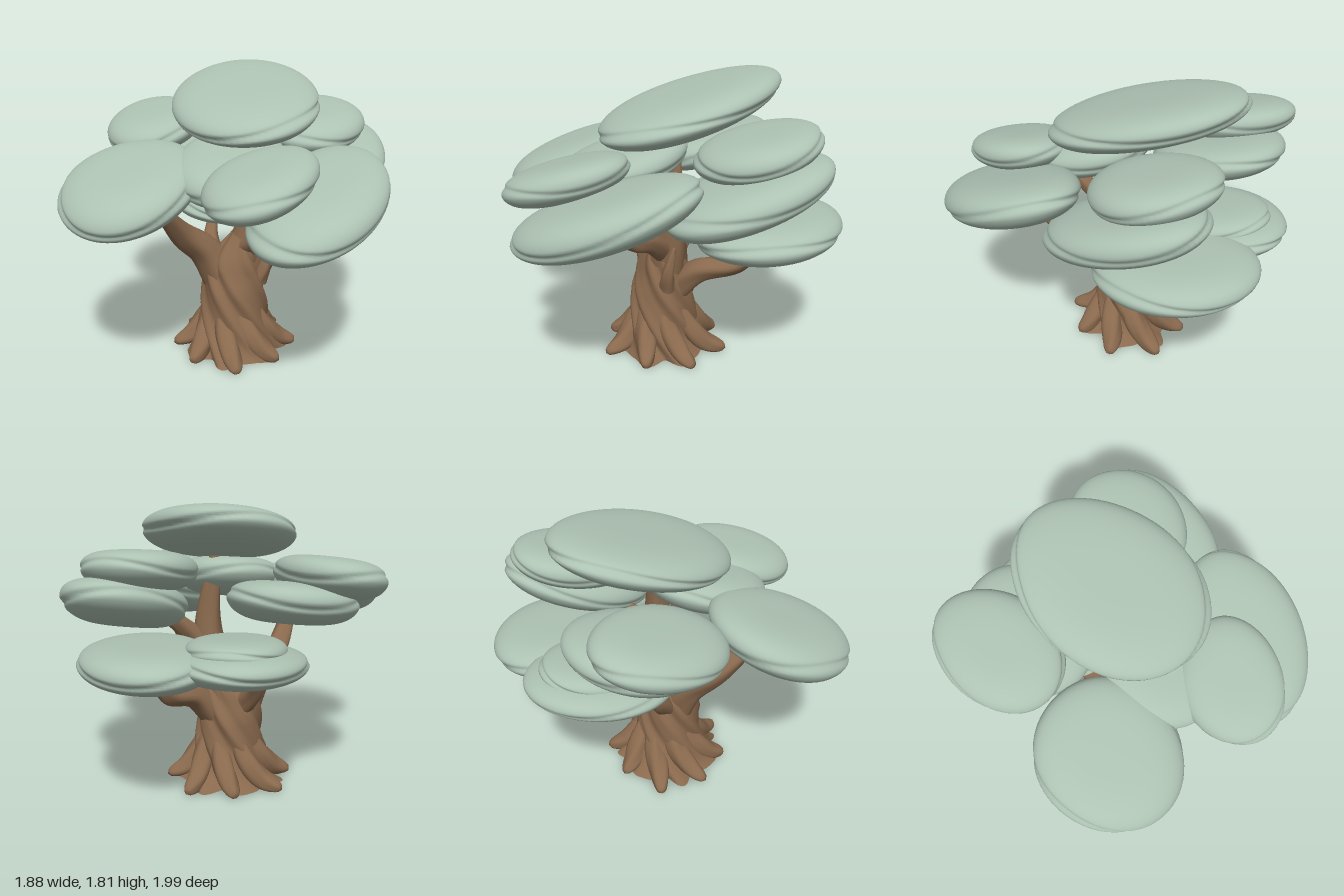
import * as THREE from 'three';
import { mergeVertices } from 'three/addons/utils/BufferGeometryUtils.js';

const bark = new THREE.MeshStandardMaterial({ color: 0x8a6a4e });
bark.name = 'bark brown';
const leaf = new THREE.MeshStandardMaterial({ color: 0xadc2b3 });
leaf.name = 'sage leaf';

// weld seams so the normals stay smooth
function smooth(geometry) {
  geometry.deleteAttribute('uv');
  geometry.deleteAttribute('normal');
  const welded = mergeVertices(geometry, 1e-5);
  welded.computeVertexNormals();
  return welded;
}

function addMesh(group, name, geometry, material) {
  const mesh = new THREE.Mesh(geometry, material);
  mesh.name = name;
  group.add(mesh);
}

function addGroup(parent, name) {
  const group = new THREE.Group();
  group.name = name;
  parent.add(group);
  return group;
}

// blunt-edged cushion of leaves, sloping and skewed, with an uneven fold round its rim
function padGeometry([x0, y0, z0], [rx, h, rz], [riseBack, riseLeft, skew], seed) {
  const g = new THREE.SphereGeometry(1, 72, 48);
  const p = g.attributes.position;
  for (let i = 0; i < p.count; i++) {
    const s = THREE.MathUtils.clamp(p.getY(i), -1, 1);
    const c = Math.sqrt(1 - s * s);
    const a = Math.atan2(p.getZ(i), p.getX(i));
    const S = Math.sign(s) * Math.pow(Math.abs(s), 0.85);
    let R = Math.pow(c, 0.55);
    const fold = (S - 0.1 - 0.3 * Math.sin(2 * a + seed)) / 0.13;
    R -= 0.035 * Math.exp(-fold * fold) * Math.min(1, c * 1.5);
    R *= 1 + 0.015 * Math.sin(3 * a + seed * 2);
    if (S < 0) R *= 1 + 0.1 * S;
    const x = rx * R * Math.cos(a), z = rz * R * Math.sin(a);
    p.setXYZ(i, x0 + x + skew * z, y0 + h * S - riseBack * z + riseLeft * x, z0 + z);
  }
  return smooth(g);
}

// tapered limb along a curve with ridges winding round it
function limbGeometry(points, radiusAt) {
  const curve = new THREE.CatmullRomCurve3(points);
  const n = 32, m = 20;
  const g = new THREE.TubeGeometry(curve, n, 1, m);
  const p = g.attributes.position, v = new THREE.Vector3();
  for (let i = 0; i <= n; i++) {
    const t = i / n, centre = curve.getPointAt(t);
    const r = radiusAt(t) * Math.sqrt(1 - Math.pow(t, 14));
    for (let j = 0; j <= m; j++) {
      const id = i * (m + 1) + j;
      const ridge = 1 + 0.08 * Math.cos((8 * Math.PI * j) / m + 5 * t);
      v.fromBufferAttribute(p, id).sub(centre).multiplyScalar(r * ridge).add(centre);
      p.setXYZ(id, v.x, Math.max(0, v.y), v.z);
    }
  }
  return smooth(g);
}

// twisted trunk, flaring at the foot and narrowing into the main branch
function trunkGeometry() {
  const { smoothstep } = THREE.MathUtils;
  const height = 0.95;
  const g = new THREE.CylinderGeometry(1, 1, 1, 96, 64, true);
  const p = g.attributes.position;
  for (let i = 0; i < p.count; i++) {
    const y = (p.getY(i) + 0.5) * height;
    const a = Math.atan2(p.getX(i), p.getZ(i));
    const w = a + 3.4 * y;
    const lobe = 0.07 + 0.09 * Math.exp(-y / 0.15);
    const flare = 0.225 - 0.07 * y + 0.085 * Math.exp(-y / 0.08);
    const taper = 1 - 0.55 * smoothstep(y, 0.56, 0.86);
    const r = flare * taper * (1 + lobe * (0.75 * Math.cos(7 * w) + 0.35 * Math.cos(11 * w + 1)));
    const flat = 1 - 0.13 * smoothstep(y, 0.4, 0.6);
    const lean = 0.1 * smoothstep(y, 0.55, 0.9);
    p.setXYZ(i, lean + r * Math.sin(a), y, 0.01 + r * flat * Math.cos(a));
  }
  return smooth(g);
}

export function createModel() {
  const tree = new THREE.Group();
  tree.name = 'tree';
  addMesh(tree, 'trunk', trunkGeometry(), bark);

  // roots spreading round the foot
  const roots = addGroup(tree, 'roots');
  const rootCount = 8;
  for (let i = 0; i < rootCount; i++) {
    const a = (i / rootCount) * Math.PI * 2 + 0.1;
    const reach = 0.405 + 0.025 * Math.cos(i * 2.4);
    const at = (d, y, turn) => new THREE.Vector3(d * Math.sin(a + turn), y, d * Math.cos(a + turn));
    const path = [at(0.14, 0.32, -0.6), at(0.2, 0.17, -0.25), at(0.29, 0.06, 0), at(reach, 0.015, 0.1)];
    addMesh(roots, 'root', limbGeometry(path, (t) => 0.038 + 0.03 * Math.sin(Math.PI * t)), bark);
  }

  // branches: radius at each end, then the points they pass through
  const branches = addGroup(tree, 'branches');
  const addBranch = (r0, r1, ...points) => {
    const path = points.map((q) => new THREE.Vector3(...q));
    addMesh(branches, 'branch', limbGeometry(path, (t) => THREE.MathUtils.lerp(r0, r1, t)), bark);
  };
  addBranch(0.14, 0.035, [0.02, 0.48, 0], [0.11, 0.8, 0], [0.135, 1.02, 0], [0.08, 1.52, -0.02]);
  addBranch(0.125, 0.03, [-0.04, 0.42, 0.02], [-0.17, 0.67, 0.07], [-0.29, 0.82, 0.2], [-0.39, 1.12, 0.5]);
  addBranch(0.09, 0.03, [0.08, 0.42, -0.04], [0.2, 0.59, -0.16], [0.33, 0.67, -0.38], [0.42, 0.88, -0.52]);
  addBranch(0.08, 0.03, [0.1, 0.72, 0.04], [0.24, 0.84, 0.17], [0.35, 0.9, 0.3], [0.46, 1.1, 0.45]);
  addBranch(0.08, 0.03, [0.12, 0.82, 0], [0.24, 0.98, -0.07], [0.45, 1.2, -0.25]);
  addBranch(0.08, 0.025, [-0.08, 0.5, -0.05], [-0.18, 0.66, -0.18], [-0.18, 0.86, -0.32]);
  addBranch(0.06, 0.03, [0.13, 0.95, 0.02], [0.15, 1.07, 0.18], [0.2, 1.26, 0.4]);
  addBranch(0.055, 0.012, [0.16, 0.48, 0.03], [0.21, 0.6, 0.04], [0.22, 0.78, 0]);

  // leaf pads: centre, half sizes, then rise to the back, rise to the left and skew
  const foliage = addGroup(tree, 'foliage');
  const addPad = (name, ...spec) =>
    addMesh(foliage, name, padGeometry(...spec, foliage.children.length * 1.7), leaf);
  addPad('crownPad', [0.05, 1.6, -0.135], [0.46, 0.12, 0.57], [0.25, 0.02, 0.1]);
  addPad('frontRightPad', [-0.535, 1.175, 0.455], [0.41, 0.14, 0.435], [0.3, 0.1, 0.02]);
  addPad('frontLeftPad', [0.55, 1.145, 0.49], [0.37, 0.14, 0.505], [0.31, 0.1, -0.2]);
  addPad('frontSmallPad', [0.24, 1.28, 0.64], [0.305, 0.11, 0.355], [0.22, 0.15, -0.12]);
  addPad('backRightPad', [-0.6, 1.39, -0.37], [0.315, 0.115, 0.395], [0.18, 0.1, 0.08]);
  addPad('backRightLowerPad', [-0.39, 1.25, -0.4], [0.37, 0.12, 0.41], [0.2, 0.05, 0]);
  addPad('backLeftPad', [0.46, 1.42, -0.42], [0.33, 0.115, 0.37], [0.2, 0, 0]);
  addPad('backLeftLowerPad', [0.58, 1.205, -0.32], [0.36, 0.135, 0.48], [0.29, 0.04, 0]);
  addPad('lowBackLeftPad', [0.41, 0.915, -0.53], [0.4, 0.12, 0.47], [0.04, 0, 0.1]);
  addPad('lowBackRightPad', [-0.11, 0.91, -0.5], [0.385, 0.105, 0.465], [0.12, 0, 0]);
  addPad('lowBackRightUpperPad', [-0.09, 0.985, -0.48], [0.29, 0.085, 0.39], [0.14, 0, 0]);
  addPad('middlePad', [0.03, 1.275, 0.28], [0.34, 0.125, 0.4], [0.24, 0, 0]);

  return tree;
}
